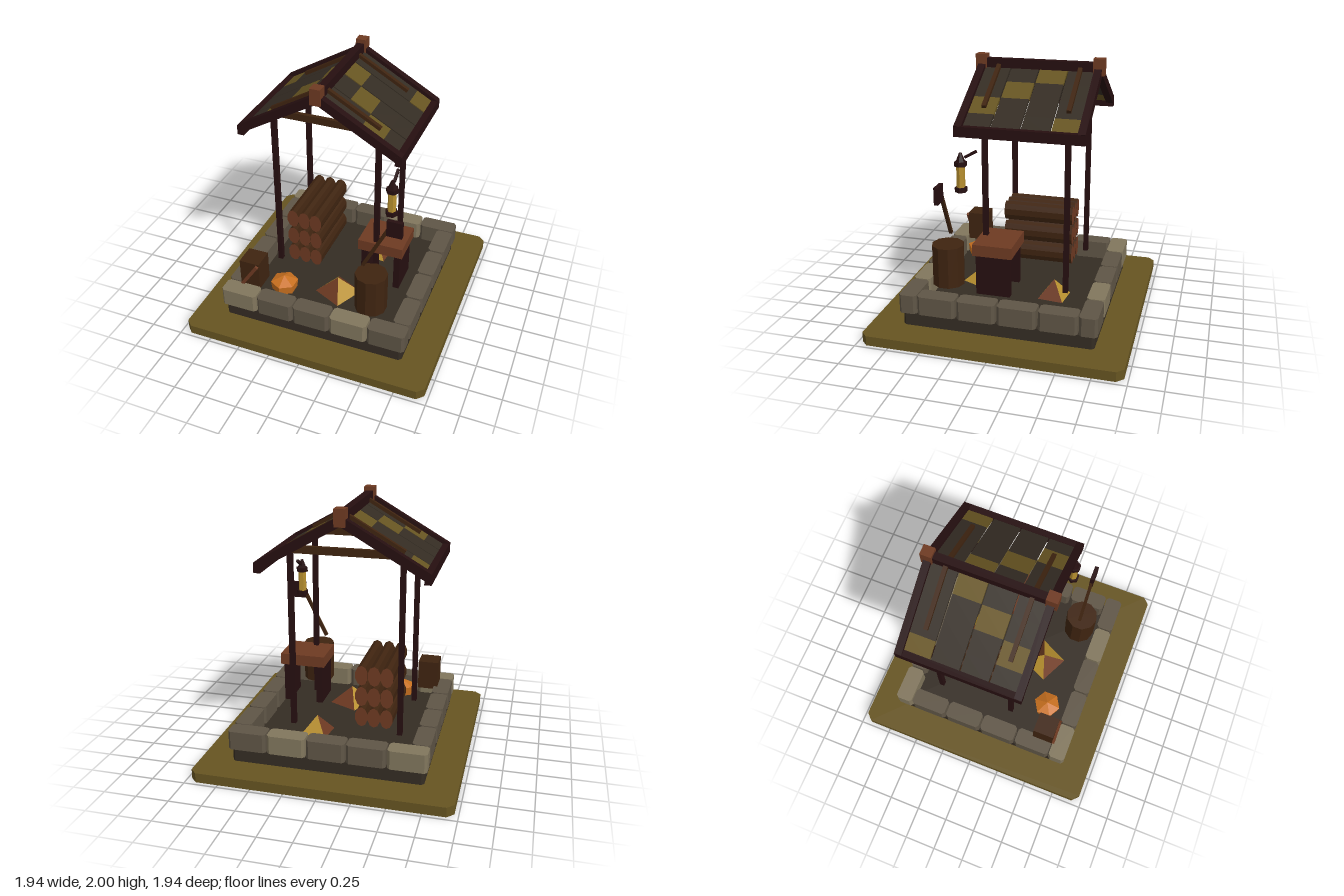
import * as THREE from 'three';

export function createModel() {
  const root = new THREE.Group();
  root.name = 'woodShelter';

  const mat = (name, color) => {
    const m = new THREE.MeshStandardMaterial({ color });
    m.name = name;
    return m;
  };
  const olive = mat('olive', 0x665421);
  const earth = mat('darkEarth', 0x342c23);
  const paleStone = mat('paleStone', 0x81765d);
  const stone = mat('stone', 0x5f5546);
  const timber = mat('darkTimber', 0x260f10);
  const brown = mat('brownWood', 0x3f2410);
  const red = mat('redWood', 0x6e3a22);
  const orange = mat('orange', 0xc8701f);
  const gold = mat('gold', 0xb8902f);

  const add = (name, geo, material, x = 0, y = 0, z = 0, parent = root) => {
    const m = new THREE.Mesh(geo, material);
    m.name = name;
    m.position.set(x, y, z);
    parent.add(m);
    return m;
  };
  // box given by its limits on each axis
  const box = (name, material, [x0, x1], [y0, y1], [z0, z1], parent) =>
    add(name, new THREE.BoxGeometry(x1 - x0, y1 - y0, z1 - z0), material,
      (x0 + x1) / 2, (y0 + y1) / 2, (z0 + z1) / 2, parent);
  // square bar between two points of the xy plane
  const bar = (name, material, [x0, y0], [x1, y1], thick, z, depth, parent) => {
    const m = add(name, new THREE.BoxGeometry(Math.hypot(x1 - x0, y1 - y0), thick, depth),
      material, (x0 + x1) / 2, (y0 + y1) / 2, z, parent);
    m.rotation.z = Math.atan2(y1 - y0, x1 - x0);
    return m;
  };
  const faceted = (geo) => {
    const g = geo.toNonIndexed();
    g.computeVertexNormals();
    return g;
  };
  // slab with cut corners, standing on y = 0
  const slab = (w, d, h, c) => {
    const a = w / 2, b = d / 2;
    const s = new THREE.Shape([[-a + c, -b], [a - c, -b], [a, -b + c], [a, b - c],
      [a - c, b], [-a + c, b], [-a, b - c], [-a, -b + c]].map((p) => new THREE.Vector2(...p)));
    return new THREE.ExtrudeGeometry(s, { depth: h, bevelEnabled: false }).rotateX(-Math.PI / 2);
  };

  // ground and foundation
  add('ground', slab(1.94, 1.94, 0.075, 0.05), olive);
  add('foundation', slab(1.45, 1.45, 0.105, 0.02), earth, 0, 0.075, 0);

  // stone border
  const border = new THREE.Group();
  border.name = 'stoneBorder';
  root.add(border);
  for (const s of [-1, 1]) {
    for (let i = 0; i < 5; i++) {
      add('rowStone', slab(0.29, 0.135, 0.145, 0.02), i % 3 === 0 ? paleStone : stone,
        (i - 2) * 0.301, 0.18, s * 0.68, border);
    }
    for (let i = 0; i < 4; i++) {
      add('sideStone', slab(0.135, 0.29, 0.145, 0.02), stone,
        s * 0.68, 0.18, (i - 1.5) * 0.306, border);
    }
  }

  // shelter frame and roof, built around its own middle
  const shelter = new THREE.Group();
  shelter.name = 'shelter';
  shelter.position.set(-0.08, 0, -0.12);
  root.add(shelter);
  const slope = 0.575;
  for (const z of [-0.31, 0.31]) {
    for (const x of [-0.41, 0.41]) {
      box('post', timber, [x - 0.019, x + 0.019], [0.3, 1.66], [z - 0.019, z + 0.019], shelter);
    }
    box('tieBeam', brown, [-0.41, 0.41], [1.635, 1.69], [z - 0.016, z + 0.016], shelter);
  }
  box('ridgeBeam', timber, [-0.029, 0.029], [1.9, 1.97], [-0.44, 0.44], shelter);
  const markedTile = [3, 0, 1, 2];
  for (const s of [-1, 1]) {
    const onSlope = (top, d) => [s * d, top - slope * d];
    for (const z of [-0.442, 0.442]) {
      bar('rafter', timber, onSlope(1.912, 0), onSlope(1.912, 0.61), 0.065, z, 0.055, shelter);
    }
    for (const z of [-0.31, 0.31]) {
      bar('roofBatten', brown, onSlope(1.93, 0.01), onSlope(1.93, 0.42), 0.03, z, 0.032, shelter);
    }
    box('eaveBeam', timber, s < 0 ? [-0.63, -0.58] : [0.58, 0.63], [1.512, 1.587], [-0.47, 0.47], shelter);
    box('ridgeCap', red, [-0.04, 0.04], [1.875, 2], [s * 0.447 - 0.042, s * 0.447 + 0.042], shelter);
    // four strips of four tiles on each slope
    for (let i = 0; i < 4; i++) {
      for (let k = 0; k < 4; k++) {
        // marked tile climbs from the front edge towards the ridge
        const marked = k === [3, 0, 1, 2][i];
        bar('roofTile', marked ? olive : earth, onSlope(1.905, k * 0.153),
          onSlope(1.905, Math.min((k + 1) * 0.153, 0.6)), 0.022,
          (i - 1.5) * 0.217, 0.207, shelter);
      }
    }
  }

  // stacked logs
  const logGeo = faceted(new THREE.CylinderGeometry(1, 1, 0.555, 10)
    .rotateX(Math.PI / 2).scale(0.05, 0.079, 1));
  const logs = new THREE.Group();
  logs.name = 'logPile';
  root.add(logs);
  for (let r = 0; r < 3; r++) {
    for (let c = 0; c < 3; c++) {
      add('log', logGeo, [brown, red, red], -0.375 + c * 0.096, 0.38 + r * 0.168, -0.098, logs);
    }
  }

  // work table
  box('tableTop', red, [0.195, 0.55], [0.615, 0.703], [-0.07, 0.23]);
  for (const x of [0.24, 0.505]) {
    box('tableLeg', timber, [x - 0.024, x + 0.024], [0.3, 0.615], [-0.05, 0.21]);
  }

  // chopping block and axe
  add('choppingBlock', faceted(new THREE.CylinderGeometry(0.125, 0.125, 0.32, 10)), brown, 0.393, 0.46, 0.475);
  bar('axeHandle', brown, [0.325, 0.685], [0.52, 1.08], 0.026, 0.473, 0.024);
  box('axeHead', timber, [0.5, 0.618], [1.01, 1.142], [0.458, 0.488]);

  // crate with a diagonal brace
  box('crate', brown, [-0.642, -0.48], [0.3, 0.535], [0.44, 0.607]);
  bar('crateBrace', red, [-0.63, 0.315], [-0.492, 0.52], 0.026, 0.617, 0.02);

  // lantern and its arm
  const lantern = new THREE.Group();
  lantern.name = 'lantern';
  lantern.position.set(0.484, 0, 0.325);
  root.add(lantern);
  const hex = (rt, rb, h) => faceted(new THREE.CylinderGeometry(rt, rb, h, 6).rotateY(Math.PI / 6));
  add('lanternBase', hex(0.047, 0.047, 0.035), timber, 0, 1.103, 0, lantern);
  add('lanternGlass', hex(0.032, 0.032, 0.17), gold, 0, 1.2, 0, lantern);
  add('lanternRim', hex(0.047, 0.047, 0.033), timber, 0, 1.297, 0, lantern);
  add('lanternCap', hex(0.01, 0.036, 0.065), timber, 0, 1.345, 0, lantern);
  const arm = add('lanternArm', new THREE.BoxGeometry(0.02, 0.02, 0.1), timber, 0, 1.373, -0.078, lantern);
  arm.rotation.x = 0.52;

  // low six-sided orange mound
  const mound = new THREE.LatheGeometry([[0, 0.24], [0.1, 0.24], [0.108, 0.31], [0, 0.36]]
    .map((p) => new THREE.Vector2(...p)), 6);
  add('orangeMound', faceted(mound), orange, -0.34, 0, 0.455);

  // four-sided heaps with alternating faces
  const heap = (x, z, r, turn) => {
    const pos = [];
    for (let i = 0; i < 4; i++) {
      for (const a of [i, i + 1]) {
        const t = turn + a * Math.PI / 2;
        pos.push(r * Math.sin(t), 0, r * Math.cos(t));
      }
      pos.push(0, 0.14, 0);
    }
    const g = new THREE.BufferGeometry();
    g.setAttribute('position', new THREE.Float32BufferAttribute(pos, 3));
    g.computeVertexNormals();
    for (let i = 0; i < 4; i++) g.addGroup(i * 3, 3, i % 2);
    add('heap', g, [gold, red], x, 0.181, z);
  };
  heap(0.05, 0.283, 0.18, 0.335);
  heap(0.18, -0.31, 0.14, 0.67 + Math.PI / 2);

  return root;
}
